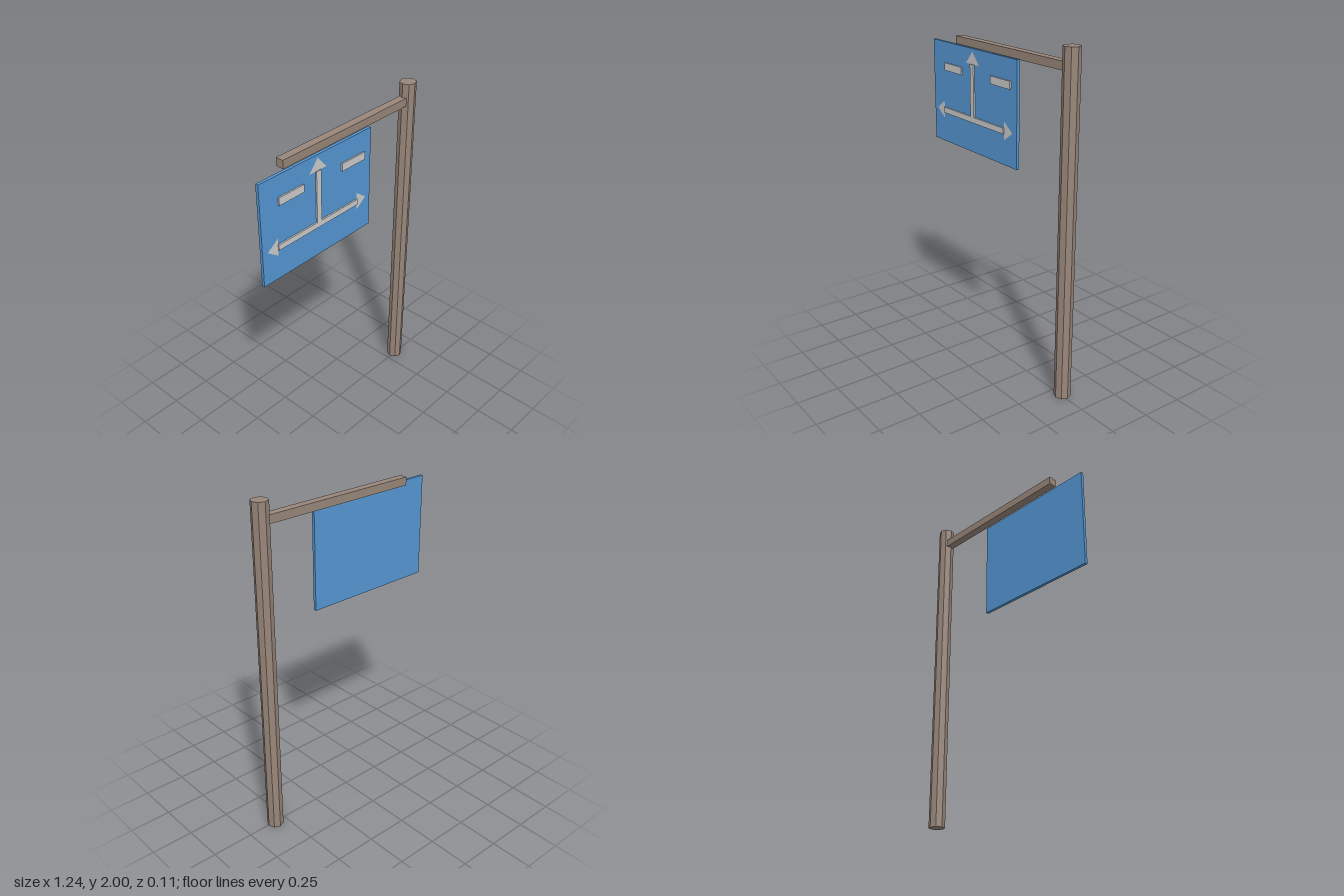
import * as THREE from 'three';

export function createModel() {
  const model = new THREE.Group();
  const brown = new THREE.MeshStandardMaterial({ color: 0x98867a, flatShading: true });
  const blue = new THREE.MeshStandardMaterial({ color: 0x5596d2 });
  const grey = new THREE.MeshStandardMaterial({ color: 0xcccccc });
  const greyThin = new THREE.MeshStandardMaterial({ color: 0xcccccc, side: THREE.DoubleSide });

  const add = (name, geometry, material, parent = model) => {
    const mesh = new THREE.Mesh(geometry, material);
    mesh.name = name;
    parent.add(mesh);
    return mesh;
  };
  // Box given by its limits on each axis
  const box = (name, [x0, x1], [y0, y1], [z0, z1], material, parent) =>
    add(name, new THREE.BoxGeometry(x1 - x0, y1 - y0, z1 - z0), material, parent)
      .position.set((x0 + x1) / 2, (y0 + y1) / 2, (z0 + z1) / 2);

  // Octagonal post and the arm it carries
  add('post', new THREE.CylinderGeometry(0.048, 0.048, 2, 8), brown).position.set(0.572, 1, -0.007);
  box('arm', [-0.428, 0.55], [1.871, 1.919], [-0.031, 0.017], brown);

  // Sign board
  box('board', [-0.624, 0.198], [1.268, 1.877], [0.028, 0.046], blue);

  // Raised bars on the board
  const markings = new THREE.Group();
  markings.name = 'markings';
  model.add(markings);
  const depth = [0.046, 0.055];
  box('crossShaft', [-0.516, 0.087], [1.448, 1.482], depth, grey, markings);
  box('upShaft', [-0.232, -0.198], [1.47, 1.787], depth, grey, markings);
  box('rightDash', [-0.5, -0.323], [1.709, 1.754], depth, grey, markings);
  box('leftDash', [-0.037, 0.143], [1.709, 1.754], depth, grey, markings);

  // Thin arrowheads: base centre and turn from pointing up
  const head = new THREE.ShapeGeometry(new THREE.Shape([
    new THREE.Vector2(-0.06, 0), new THREE.Vector2(0.06, 0), new THREE.Vector2(0, 0.073),
  ]));
  const heads = [
    ['upArrowhead', -0.215, 1.787, 0, 1.06],
    ['rightArrowhead', -0.516, 1.466, Math.PI / 2, 0.89],
    ['leftArrowhead', 0.087, 1.466, -Math.PI / 2, 0.89],
  ];
  for (const [name, x, y, turn, width] of heads) {
    const mesh = add(name, head, greyThin, markings);
    mesh.position.set(x, y, 0.048);
    mesh.rotation.z = turn;
    mesh.scale.x = width;
  }
  return model;
}
